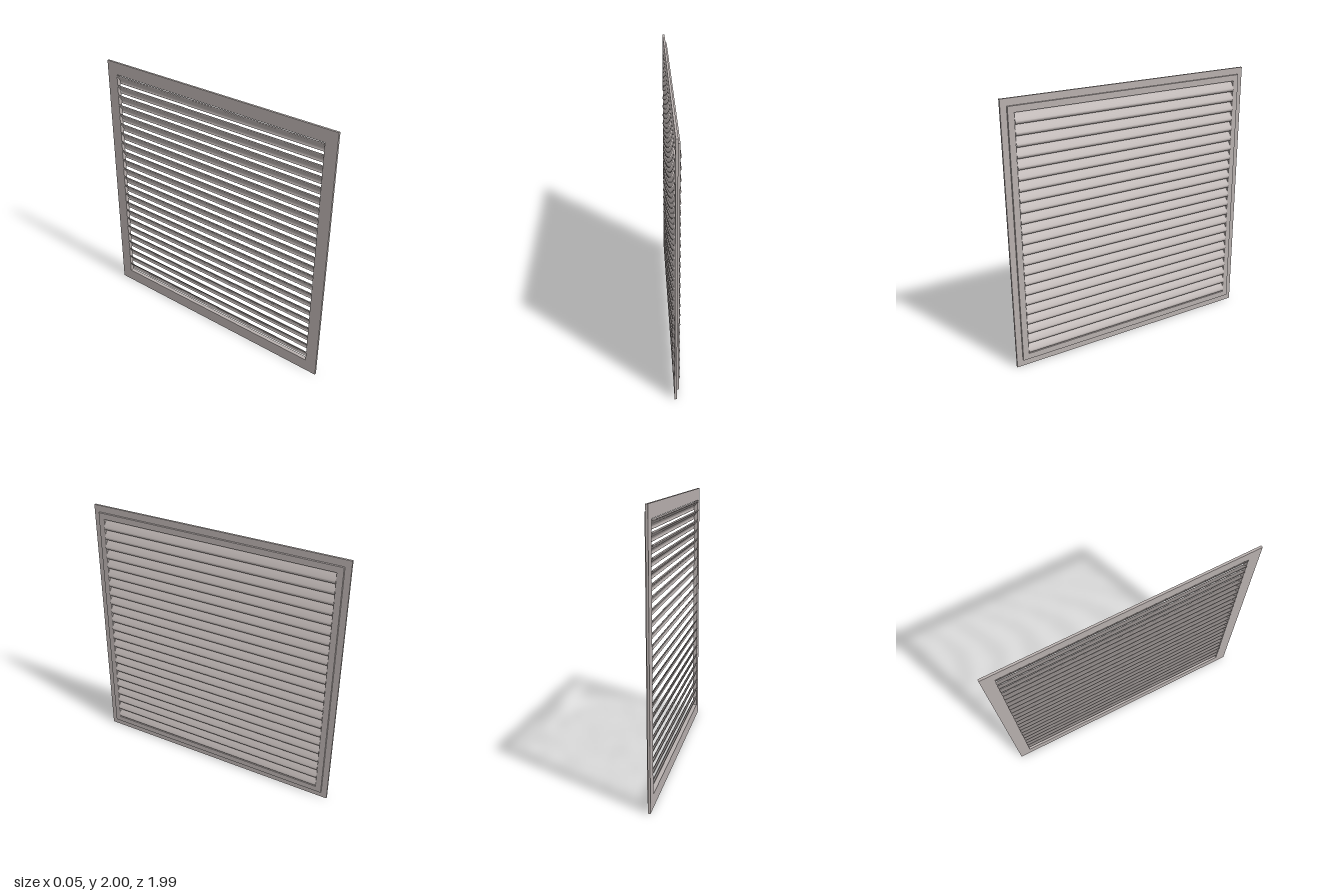
import * as THREE from 'three';
import { toCreasedNormals } from 'three/addons/utils/BufferGeometryUtils.js';

const rect = (Path, halfW, y0, y1) => {
  const p = new Path();
  p.moveTo(-halfW, y0);
  p.lineTo(halfW, y0);
  p.lineTo(halfW, y1);
  p.lineTo(-halfW, y1);
  p.closePath();
  return p;
};

// Rectangular ring standing in the z-y plane, from x0 to x1
function ring(halfW, y0, y1, x0, x1) {
  const shape = rect(THREE.Shape, halfW, y0, y1);
  shape.holes.push(rect(THREE.Path, 0.905, 0.095, 1.905));
  const geo = new THREE.ExtrudeGeometry(shape, { depth: x1 - x0, bevelEnabled: false });
  geo.rotateY(Math.PI / 2);
  geo.translate(x0, 0, 0);
  return geo;
}

// Curved blade section: slopes down and out, then turns back in a short lip
function slatGeometry(halfLength) {
  const s = new THREE.Shape();
  s.moveTo(-0.025, 0);
  s.quadraticCurveTo(0.004, -0.028, 0.02, -0.059);
  s.quadraticCurveTo(0.024, -0.067, 0.011, -0.08);
  s.lineTo(0.008, -0.077);
  s.quadraticCurveTo(0.016, -0.067, 0.013, -0.06);
  s.quadraticCurveTo(-0.002, -0.034, -0.025, -0.012);
  s.closePath();
  const geo = new THREE.ExtrudeGeometry(s, {
    depth: halfLength * 2, bevelEnabled: false, curveSegments: 6,
  });
  geo.translate(0, 0, -halfLength);
  return toCreasedNormals(geo, 0.8);
}

export function createModel() {
  const group = new THREE.Group();
  const metal = new THREE.MeshStandardMaterial({ color: 0xb8b0ae });
  metal.name = 'warm grey metal';

  const add = (name, geo) => {
    const mesh = new THREE.Mesh(geo, metal);
    mesh.name = name;
    group.add(mesh);
    return mesh;
  };

  // Wide mounting flange and the raised border on its face
  add('flange', ring(0.995, 0, 2, -0.02, -0.004));
  add('raisedBorder', ring(0.95, 0.05, 1.95, -0.004, 0.011));

  // Louvre blades
  const count = 23, top = 1.905, pitch = 0.0783;
  const blade = slatGeometry(0.905);
  for (let i = 0; i < count; i++) {
    add(`slat${i + 1}`, blade).position.y = top - i * pitch;
  }
  return group;
}
